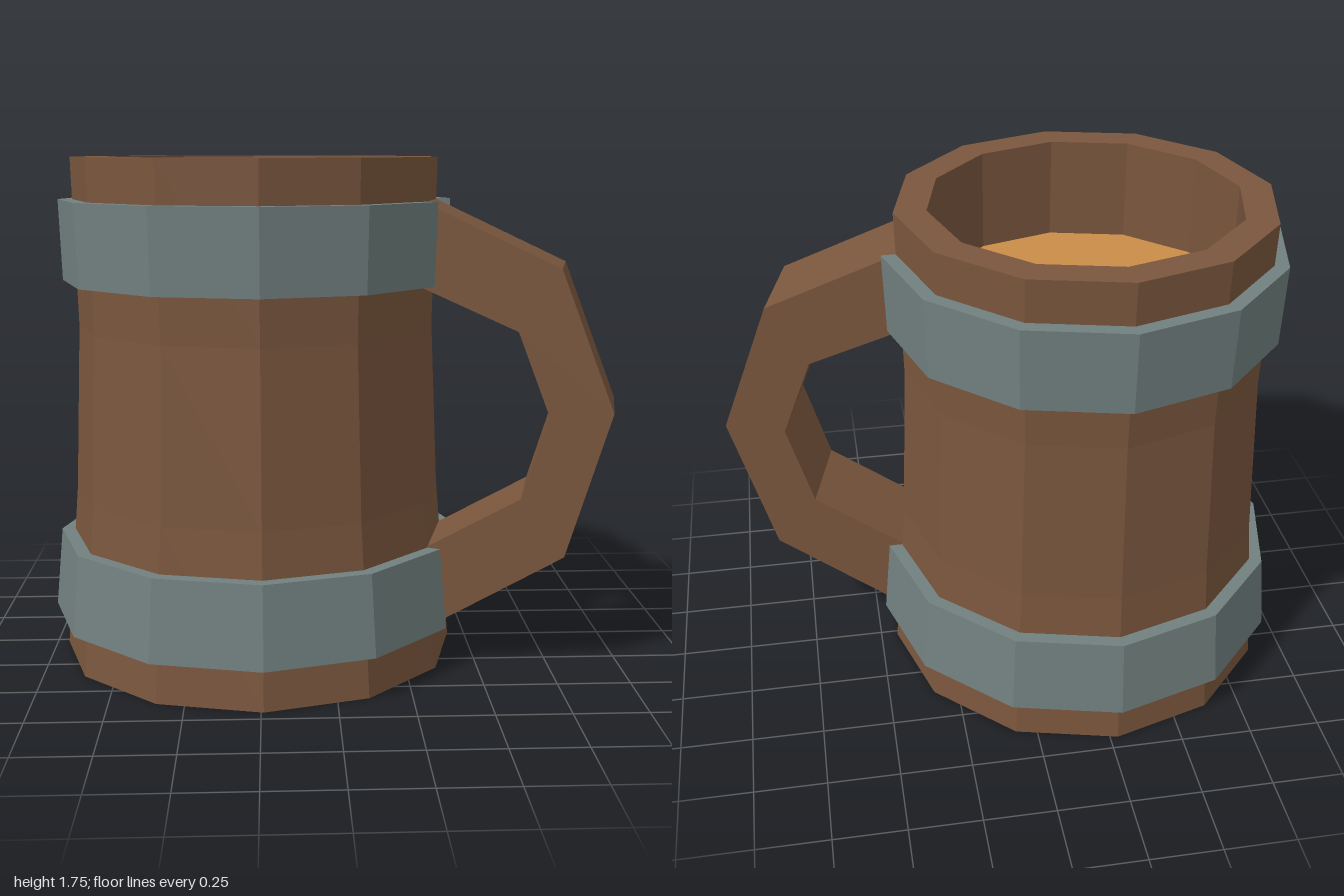
import * as THREE from 'three';

const SIDES = 12;
const rad = THREE.MathUtils.degToRad;

// Split faces so every facet is shaded flat
function flat(geometry) {
  const g = geometry.index ? geometry.toNonIndexed() : geometry;
  g.computeVertexNormals();
  return g;
}

const toPoints = (list) => list.map(([x, y]) => new THREE.Vector2(x, y));

export function createModel() {
  const wood = new THREE.MeshStandardMaterial({ color: 0x7a563d });
  wood.name = 'wood';
  const metal = new THREE.MeshStandardMaterial({ color: 0x71807f });
  metal.name = 'metal';
  const ale = new THREE.MeshStandardMaterial({ color: 0xc98c48 });
  ale.name = 'ale';

  const model = new THREE.Group();
  model.name = 'tankard';

  // Everything is built around the mug axis with the handle along local +x
  const mug = new THREE.Group();
  mug.name = 'mug';
  mug.position.x = -0.26;
  mug.rotation.y = rad(-13.5);
  model.add(mug);

  function add(parent, name, geometry, material) {
    const mesh = new THREE.Mesh(flat(geometry), material);
    mesh.name = name;
    parent.add(mesh);
    return mesh;
  }

  // Body: base, waisted outer wall, rim and inner wall
  const wall = toPoints([
    [0, 0], [0.7, 0], [0.65, 0.585], [0.625, 1.17], [0.64, 1.755],
    [0.53, 1.755], [0.53, 1.38],
  ]);
  add(mug, 'body', new THREE.LatheGeometry(wall, SIDES, rad(15)), wood);

  // Drink surface
  const surface = toPoints([[0.535, 1.4], [0, 1.4]]);
  add(mug, 'drink', new THREE.LatheGeometry(surface, SIDES, rad(15)), ale);

  // Metal hoops: eleven facets, open where the handle joins
  function hoop(name, y0, y1, r0, r1, inner) {
    const group = new THREE.Group();
    group.name = name;
    mug.add(group);
    const section = [[inner, y0], [r0, y0], [r1, y1], [inner, y1]];
    const loop = toPoints([...section, section[0]]);
    add(group, 'hoopRing', new THREE.LatheGeometry(loop, SIDES - 1, rad(105), rad(330)), metal);
    // End caps on both sides of the handle
    const capA = new THREE.ShapeGeometry(new THREE.Shape(toPoints(section)));
    add(group, 'hoopEnd', capA.rotateY(rad(15)), metal);
    const mirrored = section.map(([x, y]) => [-x, y]);
    const capB = new THREE.ShapeGeometry(new THREE.Shape(toPoints(mirrored)));
    add(group, 'hoopEnd', capB.rotateY(Math.PI - rad(15)), metal);
  }
  hoop('lowerHoop', 0.15, 0.43, 0.737, 0.71, 0.62);
  hoop('upperHoop', 1.33, 1.61, 0.677, 0.686, 0.6);

  // Handle: angular bow extruded to the width of one facet
  const bow = new THREE.Shape(toPoints([
    [0.66, 0.15], [1.106, 0.42], [1.255, 0.92], [1.072, 1.395], [0.61, 1.61],
    [0.6, 1.33], [0.935, 1.185], [1.043, 0.905], [0.955, 0.615], [0.635, 0.43],
  ]));
  const width = 0.332;
  const handle = new THREE.ExtrudeGeometry(bow, { depth: width, bevelEnabled: false });
  add(mug, 'handle', handle.translate(0, 0, -width / 2), wood);

  return model;
}
